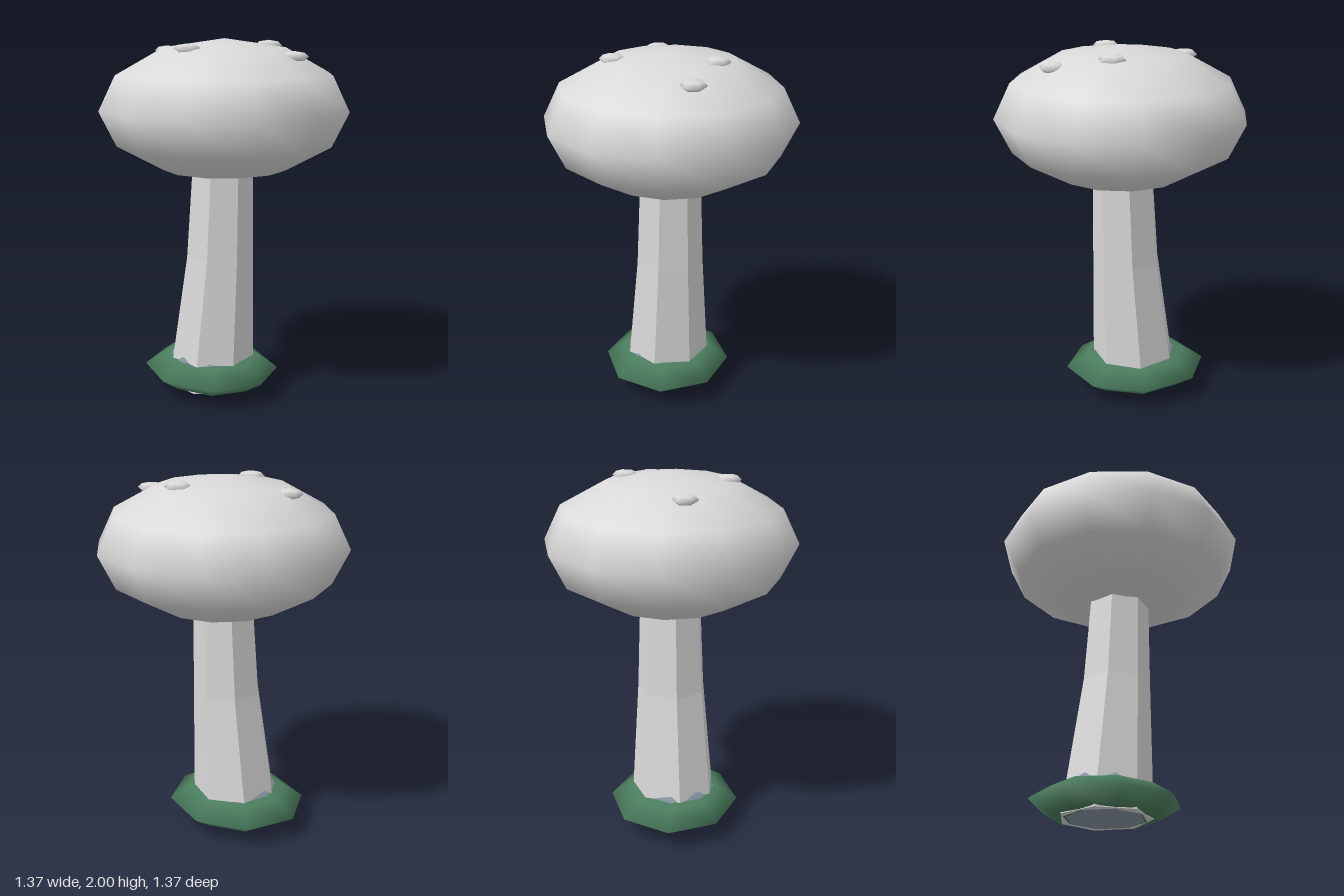
import * as THREE from 'three';

const paleGrey = new THREE.MeshStandardMaterial({ name: 'paleGrey', color: 0xd9d9d9 });
const mossGreen = new THREE.MeshStandardMaterial({ name: 'mossGreen', color: 0x4b7d5e });
const slate = new THREE.MeshStandardMaterial({ name: 'slate', color: 0x8592a0 });

// Low-poly ellipsoid with smooth normals
function ellipsoid(name, material, [rx, ry, rz], [x, y, z], sides, rings, turn = 0) {
  const geometry = new THREE.SphereGeometry(1, sides, rings);
  geometry.rotateY(turn);
  geometry.scale(rx, ry, rz);
  const mesh = new THREE.Mesh(geometry, material);
  mesh.name = name;
  mesh.position.set(x, y, z);
  return mesh;
}

// Leaning, tapering seven-sided stem with flat faces
function createStem() {
  const rings = [ // from bottom to top
    { y: 0.043, r: 0.248, x: -0.087, z: 0.03 },
    { y: 0.8, r: 0.19, x: -0.03, z: 0.01 },
    { y: 1.3, r: 0.171, x: -0.012, z: 0.005 },
  ];
  const indexed = new THREE.CylinderGeometry(1, 1, 2, 7, 2);
  indexed.rotateY(Math.PI);
  const p = indexed.attributes.position;
  for (let i = 0; i < p.count; i++) {
    const ring = rings[Math.round(p.getY(i)) + 1];
    p.setXYZ(i, p.getX(i) * ring.r + ring.x, ring.y, p.getZ(i) * ring.r + ring.z);
  }
  const geometry = indexed.toNonIndexed();
  geometry.computeVertexNormals();
  const stem = new THREE.Mesh(geometry, paleGrey);
  stem.name = 'stem';
  return stem;
}

export function createModel() {
  const model = new THREE.Group();
  model.name = 'mushroom';

  model.add(createStem());
  model.add(ellipsoid('cap', paleGrey, [0.683, 0.375, 0.683], [0, 1.625, 0], 12, 6));

  // Grass collar and the stone base under it
  model.add(ellipsoid('grassCollar', mossGreen, [0.405, 0.106, 0.3625], [-0.085, 0.125, 0.0275], 8, 4));
  model.add(ellipsoid('stoneBase', slate, [0.29, 0.137, 0.285], [-0.085, 0.137, 0.03], 8, 4));

  // Six-sided warts half sunk into the cap
  const warts = new THREE.Group();
  warts.name = 'warts';
  const spots = [
    [0.088, 1.96, -0.248],
    [0.375, 1.912, -0.145],
    [-0.355, 1.927, 0.1],
    [0.04, 1.953, 0.298],
  ];
  for (const spot of spots) {
    warts.add(ellipsoid('wart', paleGrey, [0.077, 0.028, 0.071], spot, 6, 4, Math.PI / 2));
  }
  model.add(warts);

  return model;
}
